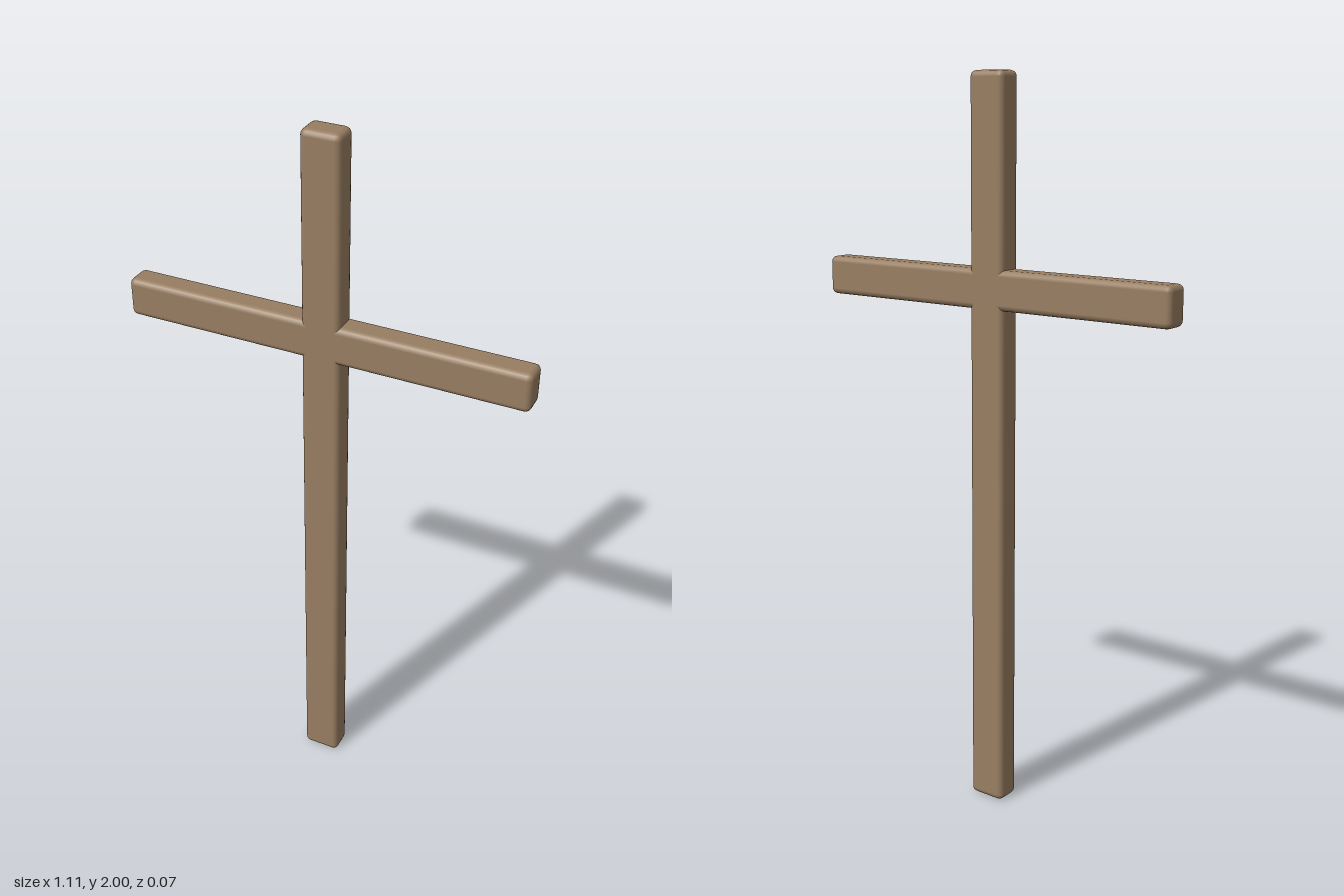
import * as THREE from 'three';
import { RoundedBoxGeometry } from 'three/addons/geometries/RoundedBoxGeometry.js';

const DEPTH = 0.074;
const EDGE = 0.016;

export function createModel() {
  const wood = new THREE.MeshStandardMaterial({ color: 0x987e62 });
  wood.name = 'wood';

  const group = new THREE.Group();
  group.name = 'woodenCross';

  // A softly rounded timber centred on x = 0 and z = 0
  function timber(name, width, height, y) {
    const mesh = new THREE.Mesh(new RoundedBoxGeometry(width, height, DEPTH, 2, EDGE), wood);
    mesh.name = name;
    mesh.position.y = y;
    group.add(mesh);
  }

  timber('uprightPost', 0.106, 2, 1);
  timber('crossbeam', 1.106, 0.106, 1.447);

  return group;
}
